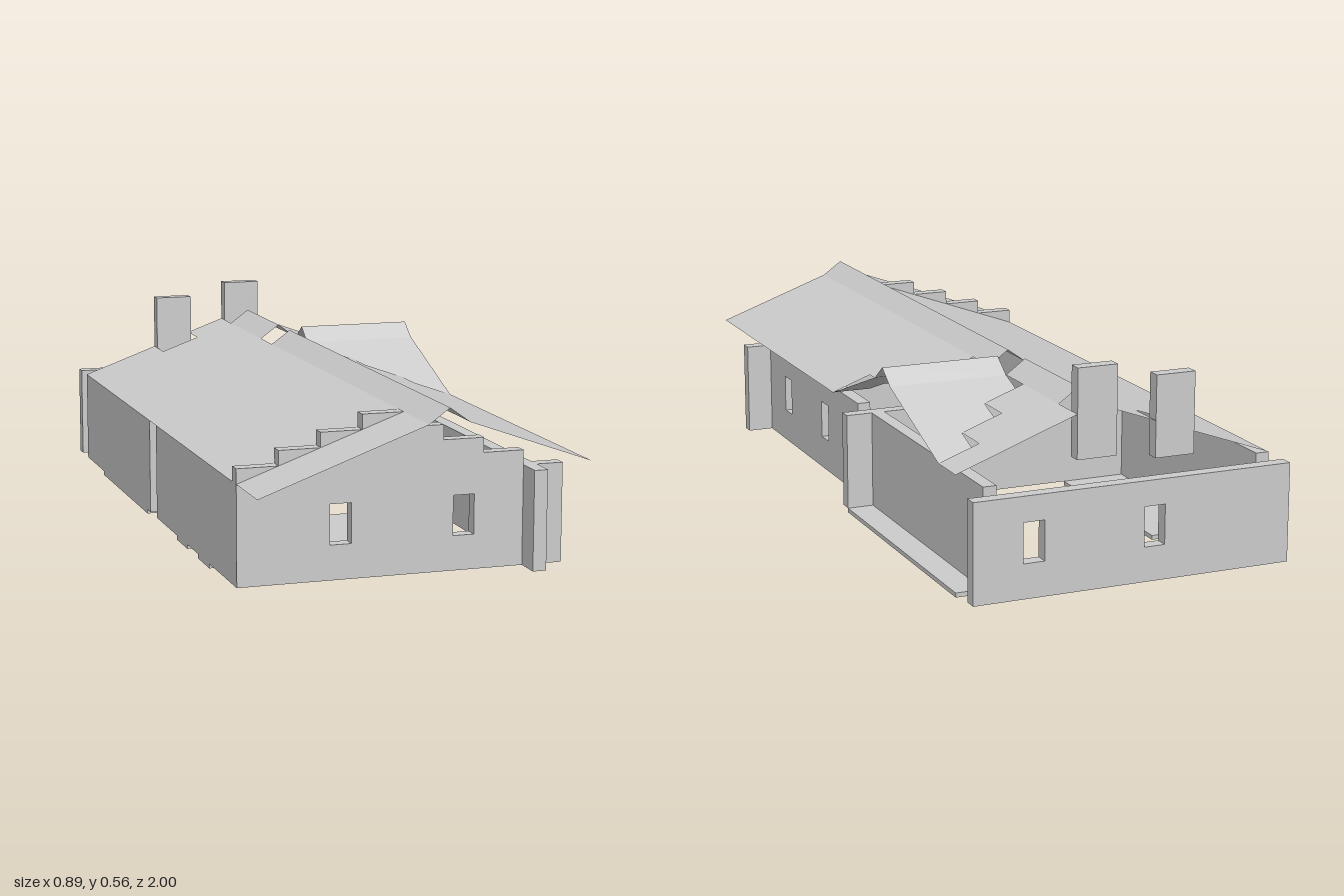
import * as THREE from 'three';

const U = 1 / 9;      // plan module
const T = U / 3;      // wall thickness
const STEP = 0.04;    // rise per module
const BASE = 0.012;   // top of floor slabs
const EAVE = 0.28;    // wall height

const mat = new THREE.MeshStandardMaterial({ color: 0xcccccc, flatShading: true });
const thin = new THREE.MeshStandardMaterial({ color: 0xcccccc, flatShading: true, side: THREE.DoubleSide });

function add(group, name, geo, material = mat) {
  const mesh = new THREE.Mesh(geo, material);
  mesh.name = name;
  group.add(mesh);
  return mesh;
}

function box(group, name, x0, x1, y0, y1, z0, z1) {
  add(group, name, new THREE.BoxGeometry(x1 - x0, y1 - y0, z1 - z0))
    .position.set((x0 + x1) / 2, (y0 + y1) / 2, (z0 + z1) / 2);
}

// Wall outline with window openings, extruded to the wall thickness
function wallGeometry(outline, windows) {
  const shape = new THREE.Shape(outline.map(([u, y]) => new THREE.Vector2(u, y)));
  for (const c of windows) {
    const hole = new THREE.Path();
    hole.moveTo(c - 0.029, 0.105);
    hole.lineTo(c - 0.029, 0.212);
    hole.lineTo(c + 0.029, 0.212);
    hole.lineTo(c + 0.029, 0.105);
    hole.closePath();
    shape.holes.push(hole);
  }
  return new THREE.ExtrudeGeometry(shape, { depth: T, bevelEnabled: false });
}

const rect = (a, b) => [[a, BASE], [b, BASE], [b, EAVE], [a, EAVE]];

// Wall running along x, its back face at z
function wallX(group, name, outline, z, windows = []) {
  add(group, name, wallGeometry(outline, windows)).position.z = z;
}

// Wall running along z from z0 to z1, its inner-left face at x
function wallZ(group, name, x, z0, z1, windows = []) {
  const geo = wallGeometry(rect(-z1, -z0), windows.map((z) => -z)).rotateY(Math.PI / 2);
  add(group, name, geo).position.x = x;
}

// Thin roof panels: plan rectangles in modules, lifted by a height rule
function roof(group, name, rects, height) {
  const pos = [];
  for (const [x0, x1, z0, z1] of rects) {
    const p = [[x0, z0], [x0, z1], [x1, z1], [x1, z0]].map(([x, z]) => [x * U, height(x, z), z * U]);
    for (const i of [0, 1, 2, 0, 2, 3]) pos.push(...p[i]);
  }
  const geo = new THREE.BufferGeometry();
  geo.setAttribute('position', new THREE.Float32BufferAttribute(pos, 3));
  geo.computeVertexNormals();
  add(group, name, geo, thin);
}

export function createModel() {
  const house = new THREE.Group();
  house.name = 'house';

  // Front wall with a stepped gable
  const gable = [[-4 * U, BASE], [4 * U, BASE]];
  for (let i = 3; i >= -4; i--) {
    const top = i >= 0 ? 0.40 - i * STEP : 0.48 + i * STEP;
    gable.push([(i + 1) * U, top], [i * U, top]);
  }
  wallX(house, 'frontWall', gable, 7 * U, [-0.168, 0.168]);

  // Cross wall and detached back wall
  wallX(house, 'crossWall', rect(-4 * U, 4 * U), -U);
  wallX(house, 'backWall', rect(-4 * U, 4 * U), -9 * U, [0.28, -0.055]);

  // Side walls, interrupted by a narrow gap
  wallZ(house, 'rightFrontWall', 3 * U, 0, 8 * U, [0.61, 0.28]);
  wallZ(house, 'rightRearWall', 3 * U, -8 * U, -U);
  wallZ(house, 'leftFrontWall', -4 * U, 0, 7 * U);
  wallZ(house, 'leftRearWall', -4 * U, -8 * U, -2 * T);

  // Main roof: left slope with a chimney opening
  roof(house, 'leftRoofSlope', [
    [-4, -2, -8, 9], [-2, -1, -7, 9], [-1, 0, -8, 9],
  ], (x) => 0.44 + x * STEP);

  // Main roof: right slope, stepped back around the cross roof
  const right = [];
  for (let i = 0; i < 3; i++) {
    right.push([i + 1, i + 2, i - 2, 9], [i + 1, i + 2, -8, -5 - i]);
  }
  roof(house, 'rightRoofSlope', right, (x) => 0.44 - (x - 1) * STEP);

  // Ridge caps, open where the two roofs cross
  roof(house, 'mainRidge', [
    [0, 0.5, -3, 9], [0.5, 1, -3, 9], [0, 0.5, -7, -4], [0.5, 1, -7, -4],
  ], (x) => 0.48 - Math.abs(x - 0.5) * 2 * STEP);
  roof(house, 'crossRidge', [[1, 4, -3.5, -3], [1, 4, -4, -3.5]],
    (x, z) => 0.48 - Math.abs(z + 3.5) * 2 * STEP);

  // Cross roof slopes, one shorter row per module
  const cross = [];
  for (let d = 0; d < 3; d++) {
    cross.push([1 + d, 4, d - 3, d - 2], [1 + d, 4, -5 - d, -4 - d]);
  }
  roof(house, 'crossRoofSlopes', cross, (x, z) => 0.44 - (Math.abs(z + 3.5) - 0.5) * STEP);

  // Chimneys
  box(house, 'ridgeChimney', 0, U, 0.32, 0.56, -8 * U, -8 * U + T);
  box(house, 'leftChimney', -2 * U, -U, 0.30, 0.52, -8 * U, -8 * U + T);

  // Floor slabs in modules: x0, x1, z0, z1
  const slabs = [
    [-2, 2, 1, 6], [-4, -2, 4, 5], [-4, -2, 2, 3],
    [2, 4, -7, -2], [3, 4, -8, -7], [3, 4, -2, -1], [-4, -2, -6, -1],
  ];
  for (const [x0, x1, z0, z1] of slabs) {
    box(house, 'floorSlab', x0 * U, x1 * U, 0, BASE, z0 * U, z1 * U);
  }
  return house;
}
